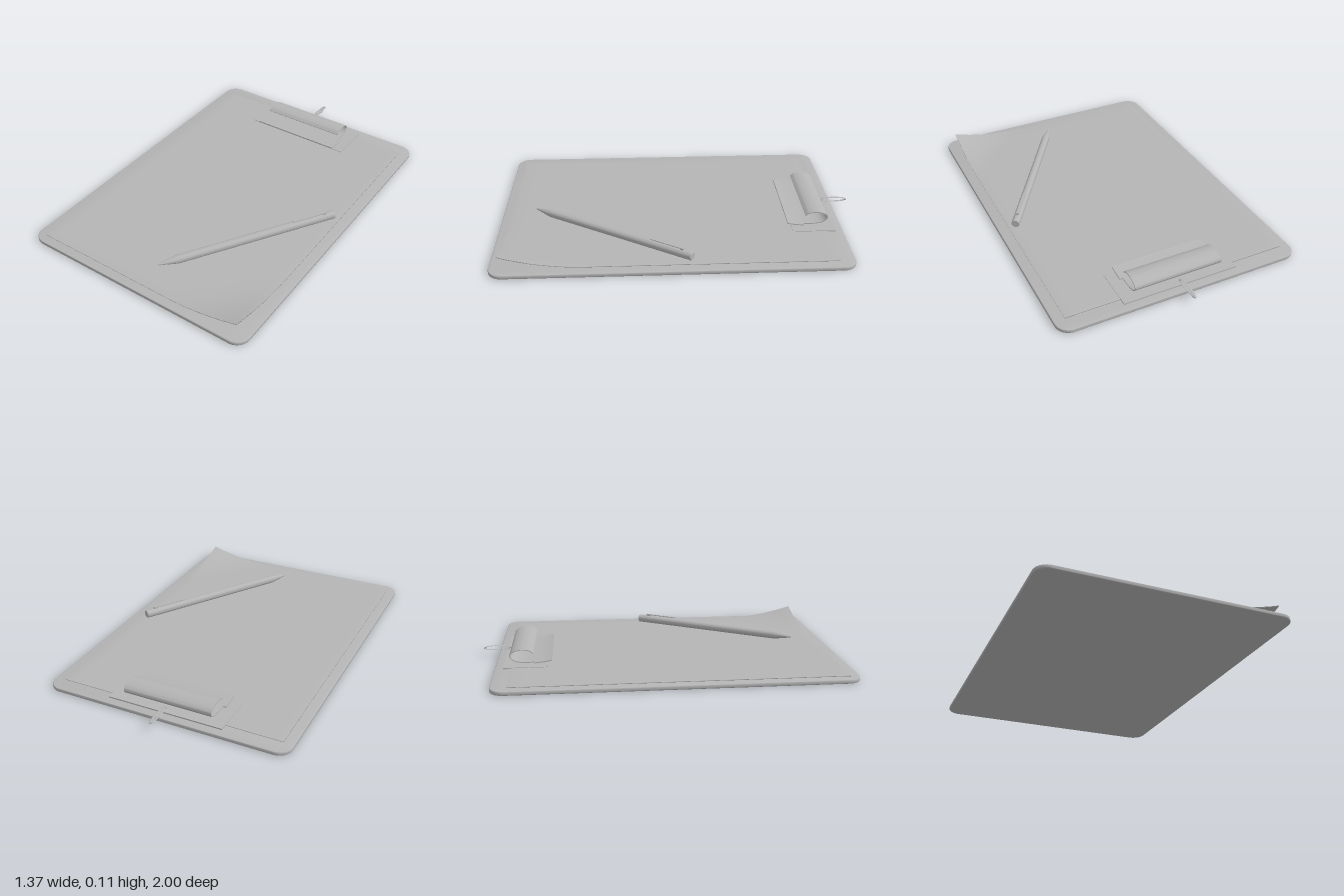
import * as THREE from 'three';
import { mergeVertices, toCreasedNormals } from 'three/addons/utils/BufferGeometryUtils.js';

export function createModel() {
  const group = new THREE.Group();
  const grey = new THREE.MeshStandardMaterial({ color: 0xb4b4b4, side: THREE.DoubleSide });
  grey.name = 'grey';

  const add = (name, geometry, parent = group) => {
    const mesh = new THREE.Mesh(geometry, grey);
    mesh.name = name;
    parent.add(mesh);
    return mesh;
  };

  // Board: rounded rectangle with softened edges
  const bevel = 0.005, w = 0.685 - bevel, z0 = -0.91 + bevel, z1 = 1 - bevel, r = 0.07;
  const outline = new THREE.Shape();
  outline.absarc(w - r, -z0 - r, r, 0, Math.PI / 2);
  outline.absarc(-w + r, -z0 - r, r, Math.PI / 2, Math.PI);
  outline.absarc(-w + r, -z1 + r, r, Math.PI, Math.PI * 1.5);
  outline.absarc(w - r, -z1 + r, r, Math.PI * 1.5, Math.PI * 2);
  const board = new THREE.ExtrudeGeometry(outline, {
    depth: 0.012, bevelSize: bevel, bevelThickness: bevel, bevelSegments: 3, curveSegments: 10,
  });
  board.rotateX(-Math.PI / 2).translate(0, bevel, 0);
  add('board', toCreasedNormals(board, 0.6));

  // Paper: thin sheet whose front left corner curls upwards
  let paper = new THREE.BoxGeometry(1.255, 0.004, 1.775, 26, 1, 24);
  paper.translate(-0.0025, 0.0245, 0.0625);
  const pos = paper.attributes.position;
  for (let i = 0; i < pos.count; i++) {
    const s = (pos.getX(i) - 0.2) / 0.425 + (pos.getZ(i) - 0.5) / 0.45 - 1;
    if (s > 0) pos.setY(i, pos.getY(i) + 0.07 * s ** 2);
  }
  paper.deleteAttribute('normal');
  paper.deleteAttribute('uv');
  paper = mergeVertices(paper);
  paper.computeVertexNormals();
  add('paper', paper);

  // Clip: base plate, pressing jaw, rolled grip and hanging ring
  const clip = new THREE.Group();
  clip.name = 'clip';
  group.add(clip);
  add('clipBase', new THREE.BoxGeometry(0.65, 0.007, 0.237), clip).position.set(0, 0.0255, -0.7465);

  // Bent sheet: profile points are [distance behind the centre, height]
  const bentSheet = (points, width, thickness, steps) => {
    const curve = new THREE.SplineCurve(points.map(([a, b]) => new THREE.Vector2(a, b)));
    const outer = [], inner = [];
    for (let i = 0; i <= steps; i++) {
      const p = curve.getPoint(i / steps), t = curve.getTangent(i / steps);
      const n = new THREE.Vector2(-t.y, t.x).multiplyScalar(thickness / 2);
      outer.push(p.clone().add(n));
      inner.unshift(p.clone().sub(n));
    }
    const geometry = new THREE.ExtrudeGeometry(new THREE.Shape([...outer, ...inner]), {
      depth: width, bevelEnabled: false,
    });
    geometry.translate(0, 0, -width / 2).rotateY(Math.PI / 2);
    return toCreasedNormals(geometry, 0.7);
  };
  add('clipJaw', bentSheet([[0.608, 0.047], [0.65, 0.039], [0.7, 0.034]], 0.535, 0.006, 8), clip);
  add('clipGrip', bentSheet([
    [0.69, 0.035], [0.755, 0.033], [0.808, 0.042], [0.834, 0.068],
    [0.82, 0.09], [0.778, 0.103], [0.733, 0.099], [0.708, 0.083],
  ], 0.5, 0.005, 36), clip);

  const ring = new THREE.TorusGeometry(0.072, 0.006, 10, 40);
  ring.rotateY(Math.PI / 2).scale(1.2, 0.17, 1);
  add('hangingRing', ring, clip).position.set(0, 0.049, -0.922);

  // Pen: tip at its local origin, barrel running along local y
  const pen = new THREE.Group();
  pen.name = 'pen';
  const tip = new THREE.Vector3(0.04, 0.051, 0.808);
  const axis = new THREE.Vector3(0.59, 0.051, -0.055).sub(tip);
  const length = axis.length();
  const profile = [[0, 0], [0.005, 0], [0.007, 0.015], [0.023, 0.1], [0.0235, 0.11],
    [0.0235, length - 0.004], [0.021, length], [0, length]];
  const body = new THREE.LatheGeometry(profile.map(([a, b]) => new THREE.Vector2(a, b)), 24);
  add('penBody', toCreasedNormals(body, 0.5), pen);
  add('penClip', new THREE.BoxGeometry(0.014, 0.2, 0.004), pen).position.set(0, 0.87, 0.03);
  add('penClipFoot', new THREE.BoxGeometry(0.014, 0.02, 0.012), pen).position.set(0, 0.96, 0.025);
  const along = axis.clone().normalize(), up = new THREE.Vector3(0, 1, 0);
  pen.quaternion.setFromRotationMatrix(
    new THREE.Matrix4().makeBasis(along.clone().cross(up), along, up));
  pen.position.copy(tip);
  group.add(pen);

  return group;
}
